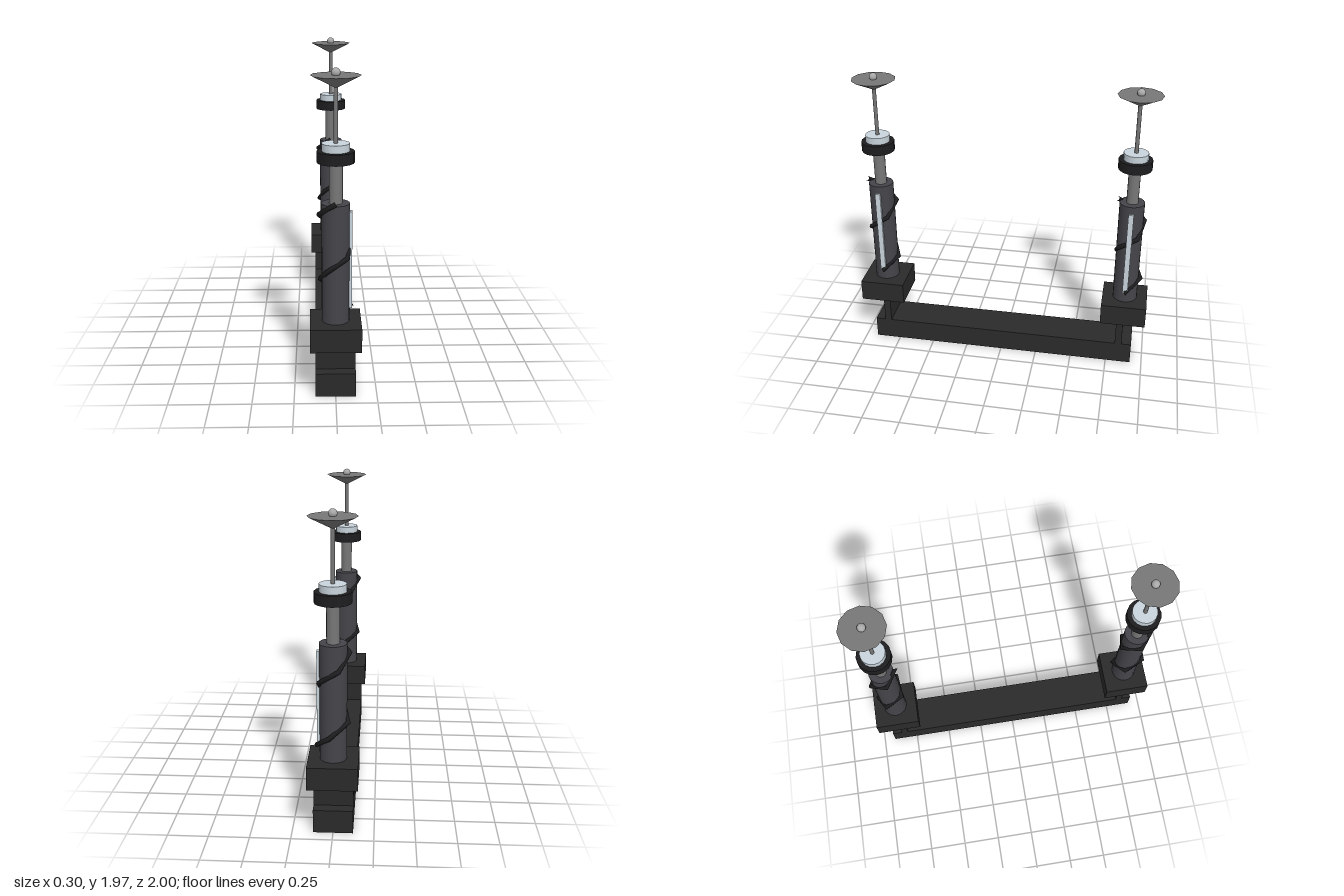
import * as THREE from 'three';

const mat = (color, flatShading = false) => new THREE.MeshStandardMaterial({ color, flatShading });
const black = mat(0x2a2a2a);
const rubber = mat(0x1e1e20);
const casing = mat(0x44444a);
const steel = mat(0x777777);
const dishSteel = mat(0x777777, true);
const lamp = mat(0xc8d4dc);
const bulb = mat(0xaaaaaa);

const TOWER_Z = 0.848;

function add(parent, name, geometry, material, x = 0, y = 0, z = 0) {
  const mesh = new THREE.Mesh(geometry, material);
  mesh.name = name;
  mesh.position.set(x, y, z);
  parent.add(mesh);
  return mesh;
}

// Box and cylinder given by their bottom and top heights
const box = (p, name, m, w, y0, y1, d, x = 0, z = 0) =>
  add(p, name, new THREE.BoxGeometry(w, y1 - y0, d), m, x, (y0 + y1) / 2, z);
const cyl = (p, name, m, rTop, rBottom, y0, y1, sides) =>
  add(p, name, new THREE.CylinderGeometry(rTop, rBottom, y1 - y0, sides), m, 0, (y0 + y1) / 2, 0);

// Cable path winding one and three quarter turns around the casing
class Helix extends THREE.Curve {
  getPoint(t, target = new THREE.Vector3()) {
    const a = t * Math.PI * 3.5;
    return target.set(0.098 * Math.cos(a), 0.555 + 0.665 * t, -0.098 * Math.sin(a));
  }
}

function createTower() {
  const tower = new THREE.Group();
  box(tower, 'mountBlock', black, 0.304, 0.33, 0.475, 0.304);
  cyl(tower, 'casing', casing, 0.082, 0.082, 0.475, 1.2, 24);
  box(tower, 'lightStrip', lamp, 0.03, 0.555, 1.15, 0.035, 0.081);
  add(tower, 'spiralCable', new THREE.TubeGeometry(new Helix(), 8, 0.015, 8), rubber);
  cyl(tower, 'innerShaft', steel, 0.039, 0.039, 1.2, 1.44, 16);
  cyl(tower, 'collar', rubber, 0.109, 0.109, 1.44, 1.505, 16);
  cyl(tower, 'lampRing', lamp, 0.08, 0.08, 1.505, 1.55, 16);
  cyl(tower, 'antennaRod', steel, 0.013, 0.013, 1.55, 1.9, 10);
  cyl(tower, 'dish', dishSteel, 0.143, 0.001, 1.858, 1.93, 12);
  add(tower, 'tipBall', new THREE.SphereGeometry(0.026, 16, 12), bulb, 0, 1.945, 0);
  return tower;
}

export function createModel() {
  const model = new THREE.Group();
  model.name = 'twinTowerRig';
  box(model, 'baseBeam', black, 0.244, 0, 0.15, 1.84);
  for (const [side, s] of [['front', 1], ['rear', -1]]) {
    // Upright plate carrying each tower
    box(model, side + 'Upright', black, 0.244, 0.15, 0.33, 0.046, 0, s * 0.83);
    const tower = createTower();
    tower.name = side + 'Tower';
    tower.position.z = s * TOWER_Z;
    model.add(tower);
  }
  return model;
}
